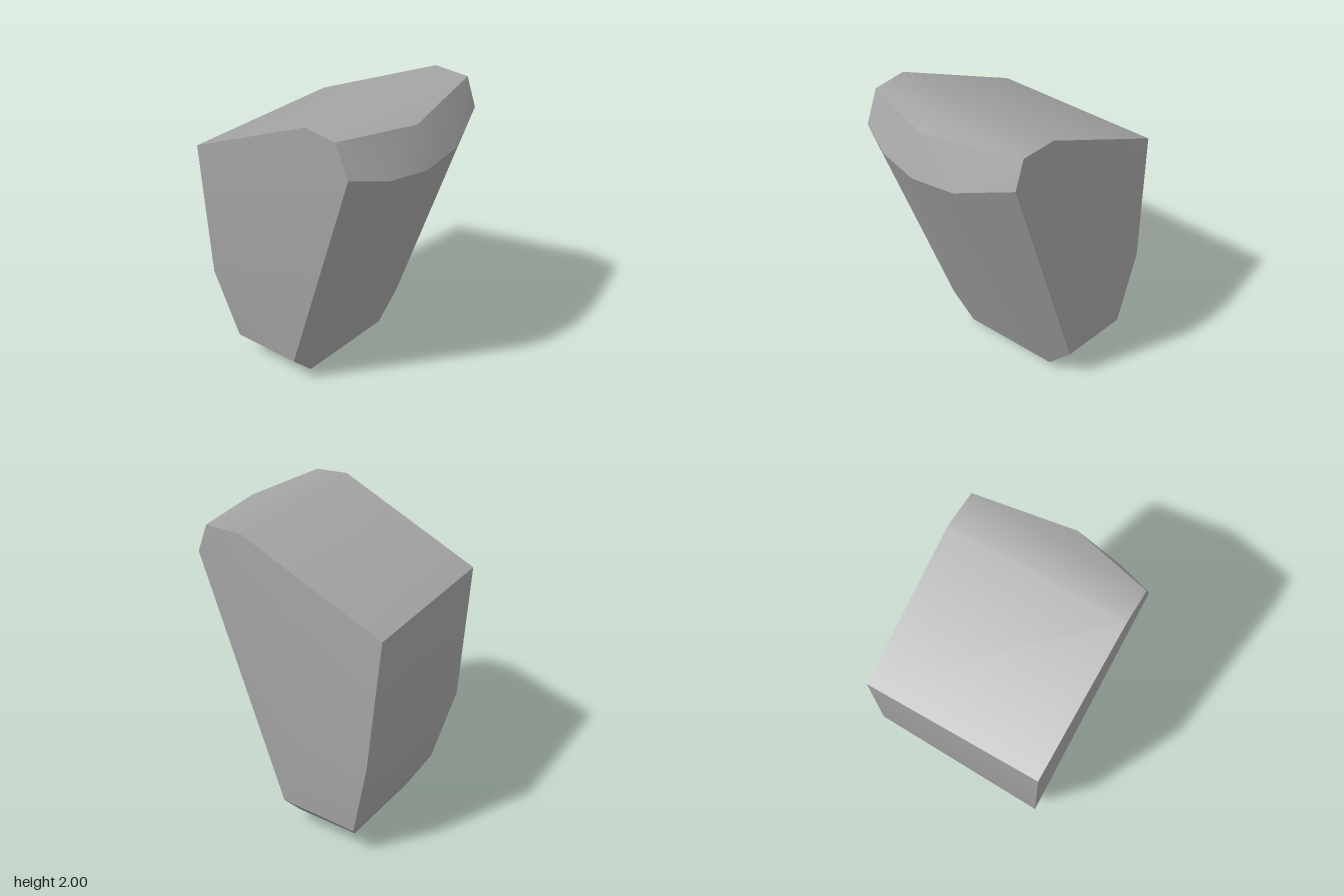
import * as THREE from 'three';
import { ConvexGeometry } from 'three/addons/geometries/ConvexGeometry.js';
import { toCreasedNormals } from 'three/addons/utils/BufferGeometryUtils.js';

// Corners of the boulder, grouped in bands from the base to the top
const bands = {
  base: [[-0.30, 0.035, 0], [0.39, 0.055, -0.03], [0.37, 0.03, -0.44], [-0.31, 0, -0.41]],
  lowerBevel: [[-0.47, 0.2, 0.02], [0.56, 0.235, -0.03], [0.54, 0.2, -0.54], [-0.49, 0.165, -0.49]],
  belly: [[0.605, 0.75, 0], [0.575, 0.72, -0.65], [-0.575, 0.66, -0.61]],
  backRim: [[0.54, 1.57, -0.715], [-0.605, 1.57, -0.655]],
  brow: [[-0.555, 1.78, 0.59], [-0.32, 1.72, 0.675], [-0.04, 1.695, 0.71], [0.255, 1.72, 0.675], [0.595, 1.82, 0.53]],
  crest: [[-0.565, 1.985, 0.5], [-0.035, 1.95, 0.62], [0.59, 2, 0.465], [0.585, 2, 0.22], [-0.575, 2, 0.275]],
};

export function createModel() {
  const group = new THREE.Group();
  group.name = 'boulder';

  const stone = new THREE.MeshStandardMaterial({ color: 0xa5a5a5 });
  stone.name = 'grey stone';

  // Convex block with gentle bends smoothed and real edges kept sharp
  const points = Object.values(bands).flat().map((p) => new THREE.Vector3(...p));
  const geometry = toCreasedNormals(new ConvexGeometry(points), THREE.MathUtils.degToRad(30));
  const rock = new THREE.Mesh(geometry, stone);
  rock.name = 'rock';
  group.add(rock);

  return group;
}
